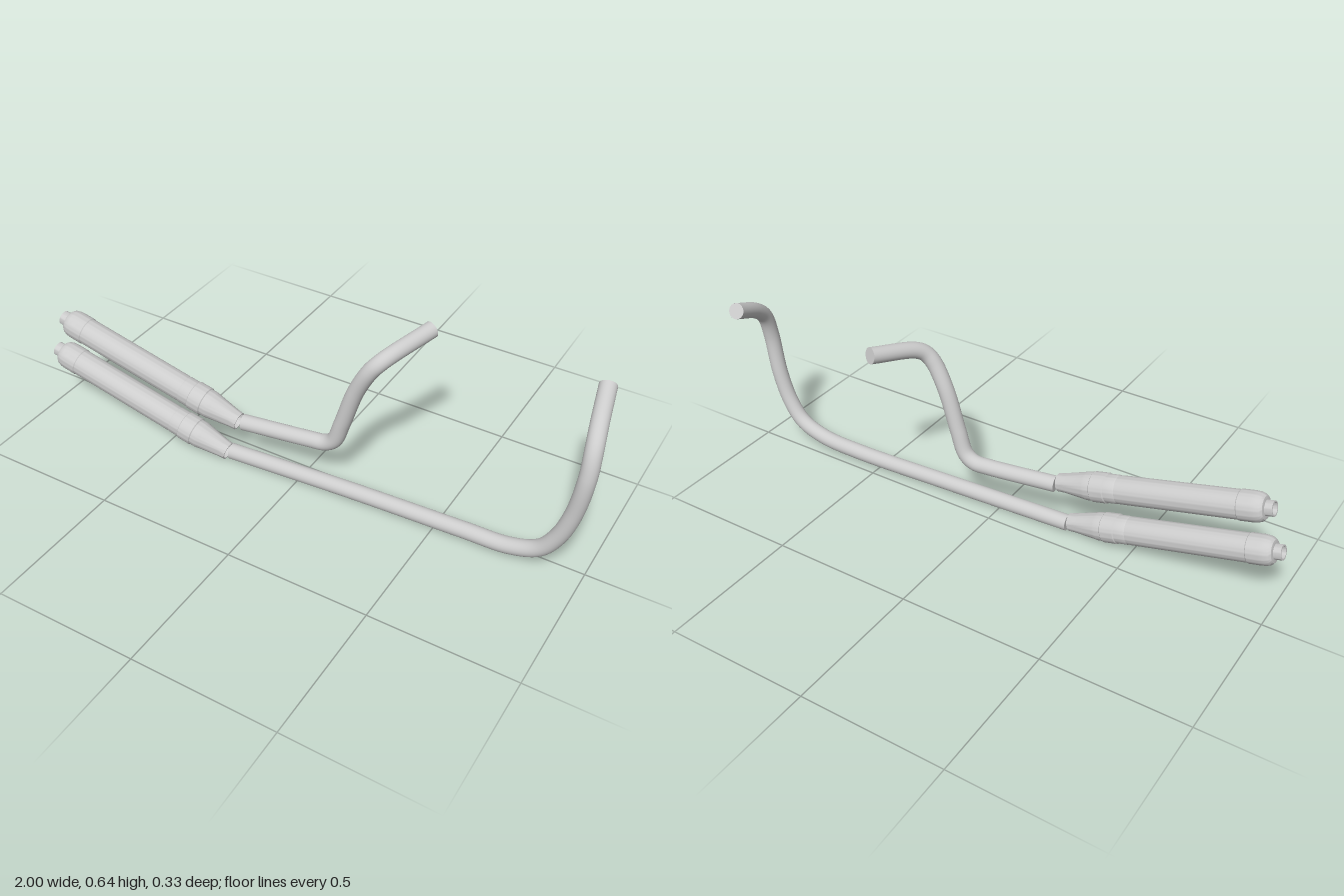
import * as THREE from 'three';
import { toCreasedNormals } from 'three/addons/utils/BufferGeometryUtils.js';

const PIPE_RADIUS = 0.028;
const V = (p) => new THREE.Vector3(...p);

export function createModel() {
  const metal = new THREE.MeshStandardMaterial({ color: 0xcccccc });
  metal.name = 'brushed metal';
  metal.side = THREE.DoubleSide;
  const model = new THREE.Group();
  model.name = 'exhaustSystem';

  // Bent header pipe with flat caps on both ends
  function headerPipe(name, points) {
    const group = new THREE.Group();
    group.name = name;
    const curve = new THREE.CatmullRomCurve3(points.map(V), false, 'centripetal');
    const tube = new THREE.Mesh(new THREE.TubeGeometry(curve, 120, PIPE_RADIUS, 32), metal);
    tube.name = name + 'Tube';
    group.add(tube);
    for (const t of [0, 1]) {
      const cap = new THREE.Mesh(new THREE.CircleGeometry(PIPE_RADIUS, 32), metal);
      cap.name = name + 'Cap';
      cap.position.copy(curve.getPointAt(t));
      const out = curve.getTangentAt(t).multiplyScalar(t ? 1 : -1);
      cap.quaternion.setFromUnitVectors(new THREE.Vector3(0, 0, 1), out);
      group.add(cap);
    }
    model.add(group);
  }

  // Silencer profile as [radius, distance from the mouth]
  const profile = [
    [0.026, 0.03], [0.028, 0], [0.031, 0], [0.033, 0.025], [0.046, 0.105],
    [0.048, 0.115], [0.048, 0.135], [0.051, 0.138], [0.051, 0.185], [0.048, 0.188],
    [0.048, 0.225], [0.0465, 0.228], [0.0475, 0.24], [0.0475, 0.645], [0.0495, 0.648],
    [0.0495, 0.69], [0.048, 0.706], [0.044, 0.719], [0.037, 0.727], [0.027, 0.729],
    [0.025, 0.729], [0.025, 0.754], [0.02, 0.754], [0.02, 0.66], [0, 0.66],
  ].map(([r, y]) => new THREE.Vector2(r, y));
  const silencerGeometry = toCreasedNormals(new THREE.LatheGeometry(profile, 48), 0.5);

  function silencer(name, mouth) {
    const mesh = new THREE.Mesh(silencerGeometry, metal);
    mesh.name = name;
    mesh.position.set(...mouth);
    const axis = new THREE.Vector3(-0.732, 0.18, 0.01).normalize();
    mesh.quaternion.setFromUnitVectors(new THREE.Vector3(0, 1, 0), axis);
    model.add(mesh);
  }

  headerPipe('lowerPipe', [
    [-0.26, 0.034, 0.092], [0.2, 0.038, 0.063], [0.6, 0.039, 0.044], [0.76, 0.048, 0.044],
    [0.855, 0.085, 0.044], [0.907, 0.155, 0.044], [0.945, 0.265, 0.044], [0.968, 0.42, 0.043],
    [0.965, 0.505, 0.018], [0.953, 0.555, -0.035], [0.928, 0.613, -0.155],
  ]);
  headerPipe('upperPipe', [
    [-0.21, 0.179, 0.088], [0.03, 0.179, 0.05], [0.085, 0.183, 0.043], [0.12, 0.208, 0.042],
    [0.15, 0.29, 0.043], [0.197, 0.435, 0.044], [0.245, 0.53, 0.043], [0.268, 0.56, 0.032],
    [0.288, 0.579, 0.005], [0.355, 0.613, -0.153],
  ]);

  silencer('lowerSilencer', [-0.268, 0.035, 0.1]);
  silencer('upperSilencer', [-0.22, 0.184, 0.098]);
  return model;
}
